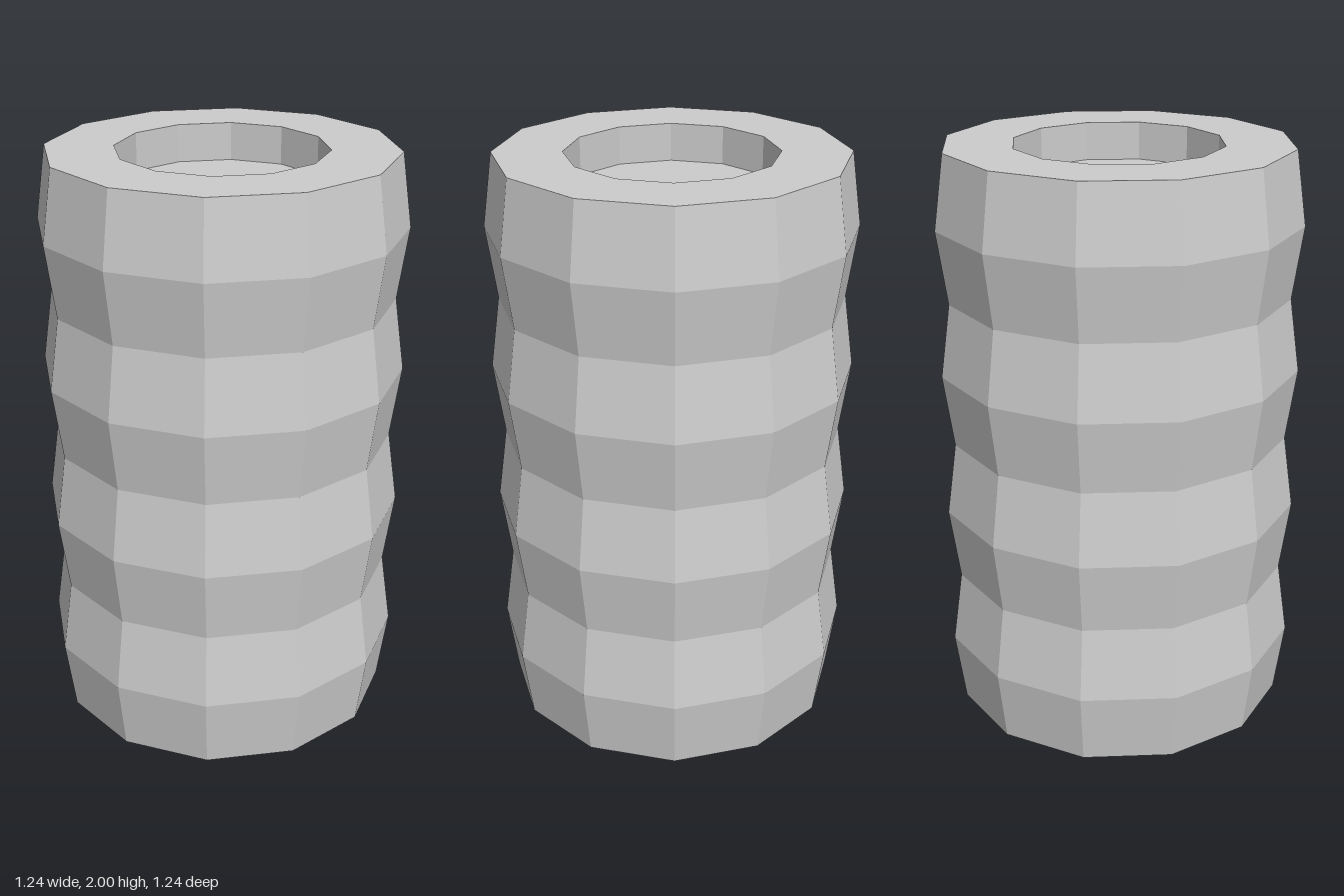
import * as THREE from 'three';

const SIDES = 12;
const NECK = 0.587, BULGE = 0.622, HOLE = 0.355;
const TOP = 2, FLOOR = 1.87, STEP = 0.25;

export function createModel() {
  const model = new THREE.Group();
  model.name = 'ribbedStack';

  const paleGrey = new THREE.MeshStandardMaterial({ color: 0xcccccc, flatShading: true, side: THREE.DoubleSide });
  paleGrey.name = 'paleGrey';

  // Revolves a list of [radius, height] pairs into a twelve-sided surface
  const addLathe = (name, profile) => {
    const points = profile.map(([r, y]) => new THREE.Vector2(r, y));
    const mesh = new THREE.Mesh(new THREE.LatheGeometry(points, SIDES), paleGrey);
    mesh.name = name;
    model.add(mesh);
  };

  // Four bulging rings, open at the bottom
  const ribs = [];
  for (let i = 0; i <= 8; i++) ribs.push([i % 2 ? BULGE : NECK, i * STEP]);
  addLathe('ribbedWall', ribs);

  // Flat ring around the opening
  addLathe('topRim', [[NECK, TOP], [HOLE, TOP]]);

  // Shallow well in the top
  addLathe('recessWall', [[HOLE, TOP], [HOLE, FLOOR]]);
  addLathe('recessFloor', [[HOLE, FLOOR], [0, FLOOR]]);

  return model;
}
